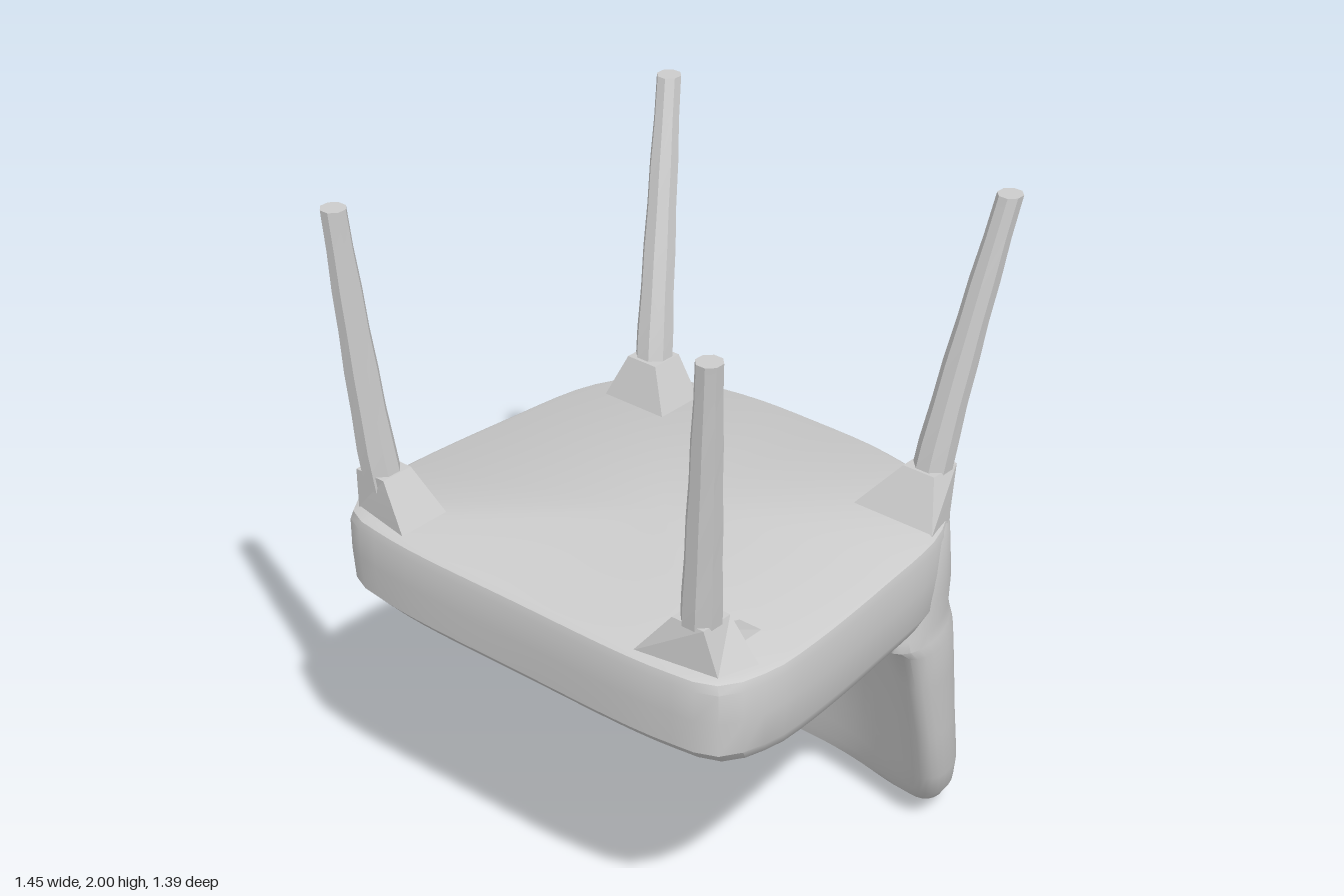
import * as THREE from 'three';
import { toCreasedNormals } from 'three/addons/utils/BufferGeometryUtils.js';

const material = new THREE.MeshStandardMaterial({ color: 0xcccccc });

// Skin a stack of equal-length rings (listed from low to high) and cap both ends.
function loft(rings, crease) {
  const n = rings[0].length, pos = [], index = [];
  for (const ring of rings) for (const p of ring) pos.push(p.x, p.y, p.z);
  for (let r = 0; r < rings.length - 1; r++) {
    for (let i = 0; i < n; i++) {
      const a = r * n + i, b = r * n + (i + 1) % n;
      index.push(a, a + n, b, b, a + n, b + n);
    }
  }
  for (const r of [0, rings.length - 1]) {
    const c = new THREE.Vector3();
    rings[r].forEach((p) => c.addScaledVector(p, 1 / n));
    const k = pos.length / 3;
    pos.push(c.x, c.y, c.z);
    for (let i = 0; i < n; i++) {
      const a = r * n + i, b = r * n + (i + 1) % n;
      if (r === 0) index.push(k, a, b);
      else index.push(k, b, a);
    }
  }
  const g = new THREE.BufferGeometry();
  g.setAttribute('position', new THREE.Float32BufferAttribute(pos, 3));
  g.setIndex(index);
  return toCreasedNormals(g, crease);
}

function part(name, geometry) {
  const mesh = new THREE.Mesh(geometry, material);
  mesh.name = name;
  return mesh;
}

const square = (x0, x1, z0, z1, y) =>
  [[x1, z0], [x1, z1], [x0, z1], [x0, z0]].map(([x, z]) => new THREE.Vector3(x, y, z));

// Seat slab: D-shaped outline, flat on the leg side, softly rounded on the sitting side.
function makeSeat() {
  const half = [[0, -0.58], [0.25, -0.57], [0.45, -0.52], [0.58, -0.43], [0.65, -0.3],
    [0.693, 0], [0.722, 0.35], [0.718, 0.5], [0.66, 0.645], [0.5, 0.685], [0, 0.695]];
  const mirrored = half.slice(1, -1).reverse().map(([x, z]) => [-x, z]);
  const curve = new THREE.CatmullRomCurve3(
    [...half, ...mirrored].map(([x, z]) => new THREE.Vector3(x, 0, z)), true);
  const outline = curve.getSpacedPoints(72).slice(0, 72);
  // [height, scale in x, scale in z]
  const levels = [[0.775, 0.4, 0.4], [0.77, 0.75, 0.7], [0.79, 0.9, 0.83], [0.83, 0.97, 0.935],
    [0.87, 0.995, 0.99], [0.97, 1, 1], [1.06, 1, 1], [1.085, 0.99, 0.99], [1.095, 0.965, 0.965]];
  return part('seat', loft(levels.map(([y, sx, sz]) => outline.map((p) =>
    new THREE.Vector3(p.x * sx, y, 0.05 + (p.z - 0.05) * sz))), 0.6));
}

// Backrest: curved shell at the rear of the seat, thicker at its sides, rounded at its free edge.
function makeBackrest() {
  // [height, half width, rear z at the middle, thickness, sweep of front face, sweep of rear face]
  const levels = [[0.005, 0.34, -0.655, 0.07, 0.05, 0.03], [0.02, 0.46, -0.68, 0.14, 0.08, 0.06],
    [0.06, 0.55, -0.696, 0.165, 0.14, 0.09], [0.13, 0.6, -0.692, 0.17, 0.2, 0.115],
    [0.22, 0.627, -0.682, 0.17, 0.235, 0.13], [0.4, 0.645, -0.652, 0.165, 0.27, 0.145],
    [0.6, 0.66, -0.628, 0.175, 0.315, 0.155], [0.73, 0.668, -0.612, 0.21, 0.315, 0.16],
    [0.765, 0.664, -0.608, 0.33, 0.23, 0.16], [0.8, 0.658, -0.605, 0.38, 0.18, 0.16],
    [0.9, 0.66, -0.597, 0.34, 0.16, 0.155], [1.06, 0.65, -0.583, 0.3, 0.17, 0.15],
    [1.082, 0.64, -0.574, 0.29, 0.17, 0.15]];
  const steps = 32;
  return part('backrest', loft(levels.map(([y, w, rear, t, front, back]) =>
    Array.from({ length: steps * 2 }, (_, i) => {
      const a = i / steps * Math.PI;
      const s = Math.cos(a), bend = Math.abs(s) ** 2.3;
      const zFront = rear + t + front * bend, zBack = rear + back * bend;
      const round = Math.sqrt(1 - s ** 8) * Math.sign(Math.sin(a));
      return new THREE.Vector3(w * s, y, (zFront + zBack) / 2 + (zFront - zBack) / 2 * round);
    })), 0.7));
}

// Leg: tapering, slightly bowed post on a square flared foot.
function makeLeg({ name, base, tip, plate, bend }) {
  const leg = new THREE.Group();
  leg.name = name;
  const rings = [];
  for (let j = 0; j <= 7; j++) {
    const t = j / 7, r = 0.056 - 0.022 * t + (j % 2) * 0.002;
    const bow = t ** bend;
    rings.push(Array.from({ length: 8 }, (_, i) => {
      const a = (i + 0.5) / 8 * Math.PI * 2;
      return new THREE.Vector3(base[0] + (tip[0] - base[0]) * bow + r * Math.cos(a),
        1.17 + 0.83 * t, base[1] + (tip[1] - base[1]) * bow + r * Math.sin(a));
    }));
  }
  leg.add(part('legPost', loft(rings, 0.5)));

  // Foot plate, with its outermost corner pulled in to stay on the seat
  const [bx, bz] = base, r = 0.052;
  const plateRing = (y) => square(...plate, y).map((p) => {
    const outer = Math.abs(p.x) > Math.abs(bx) && Math.abs(p.z) > Math.abs(bz);
    return outer ? new THREE.Vector3(p.x * 0.94, y, p.z * 0.94) : p;
  });
  leg.add(part('legFoot', loft([plateRing(1.07), plateRing(1.092),
    square(bx - r, bx + r, bz - r, bz + r, 1.22)], 0.2)));
  return leg;
}

export function createModel() {
  const chair = new THREE.Group();
  chair.name = 'upturnedChair';
  chair.add(makeSeat(), makeBackrest());

  // base and tip are [x, z]; plate is [x0, x1, z0, z1]
  const legs = [
    { name: 'frontRightLeg', base: [-0.585, 0.58], tip: [-0.645, 0.645], plate: [-0.69, -0.44, 0.49, 0.66], bend: 0.85 },
    { name: 'frontLeftLeg', base: [0.545, 0.58], tip: [0.632, 0.655], plate: [0.39, 0.68, 0.51, 0.665], bend: 1 },
    { name: 'rearRightLeg', base: [-0.455, -0.385], tip: [-0.565, -0.585], plate: [-0.56, -0.34, -0.45, -0.29], bend: 1.1 },
    { name: 'rearLeftLeg', base: [0.53, -0.4], tip: [0.63, -0.56], plate: [0.37, 0.64, -0.43, -0.27], bend: 1.1 },
  ];
  legs.forEach((spec) => chair.add(makeLeg(spec)));

  // Small wedge running inward from one front foot
  chair.add(part('footBrace', loft([
    square(0.505, 0.585, 0.36, 0.55, 1.085), square(0.53, 0.56, 0.51, 0.55, 1.15)], 0.2)));
  return chair;
}
